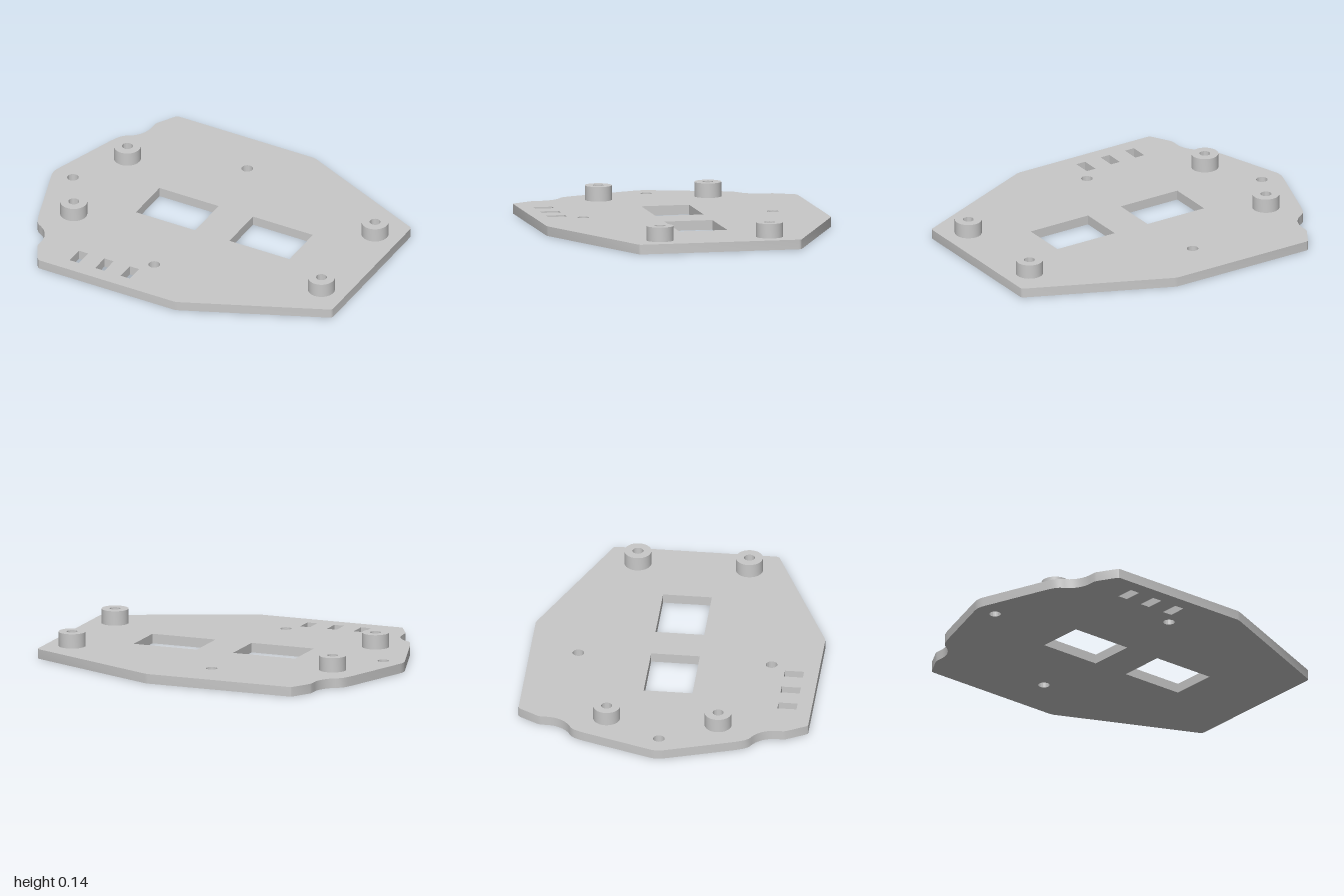
import * as THREE from 'three';
import { toCreasedNormals } from 'three/addons/utils/BufferGeometryUtils.js';

const PLATE = 0.054; // plate thickness
const TOP = 0.135;   // top of the standoffs

// Closed path through [x, z] points
function outline(points) {
  return new THREE.Path(points.map(([x, z]) => new THREE.Vector2(x, -z)));
}

// Holes run clockwise, against the plate edge
function rectHole(x0, x1, z0, z1) {
  return outline([[x0, z0], [x1, z0], [x1, z1], [x0, z1]]);
}

function roundHole(x, z, r) {
  return new THREE.Path().absarc(x, -z, r, 0, Math.PI * 2, true);
}

// Front half of the plate edge from the right side to the left tip, as [x, z]
function halfEdge() {
  const pts = [[1, 0.445], [0.997, 0.455], [0.99, 0.462], [0.215, 0.8], [0.195, 0.805],
    [-0.65, 0.805], [-0.66, 0.803], [-0.668, 0.795], [-0.728, 0.69], [-0.732, 0.675]];
  // Concave notch
  for (let i = 0; i <= 10; i++) {
    const a = -(i / 10) * THREE.MathUtils.degToRad(60);
    pts.push([-0.88 + 0.148 * Math.cos(a), 0.635 + 0.148 * Math.sin(a)]);
  }
  // Rounded shoulder, then the straight run to the tip
  pts.push([-0.827, 0.494], [-0.843, 0.475], [-0.855, 0.45], [-0.869, 0.415], [-0.995, 0.035], [-0.999, 0.018]);
  return pts;
}

export function createModel() {
  const group = new THREE.Group();
  const grey = new THREE.MeshStandardMaterial({ color: 0xc8c8c8 });
  grey.name = 'light grey plastic';

  // Base plate with all its cutouts
  const front = halfEdge();
  const back = front.map(([x, z]) => [x, -z]);
  const shape = new THREE.Shape(outline([...back, [-1, 0], ...front.reverse()]).getPoints());
  shape.holes.push(rectHole(-0.41, -0.038, -0.137, 0.134), rectHole(0.178, 0.555, -0.137, 0.134));
  for (const x of [-0.477, -0.317, -0.157]) {
    shape.holes.push(rectHole(x - 0.029, x + 0.029, 0.617, 0.723));
  }
  for (const [x, z] of [[-0.076, -0.537], [-0.076, 0.537], [-0.88, 0]]) {
    shape.holes.push(roundHole(x, z, 0.032));
  }
  const plateGeo = new THREE.ExtrudeGeometry(shape, { depth: PLATE, bevelEnabled: false, curveSegments: 32 });
  plateGeo.rotateX(-Math.PI / 2);
  const plate = new THREE.Mesh(toCreasedNormals(plateGeo, 0.5), grey);
  plate.name = 'basePlate';
  group.add(plate);

  // Four hollow standoffs, closed below by the plate
  const profile = [[0.075, PLATE], [0.075, TOP], [0.03, TOP], [0.03, PLATE]]
    .map(([r, y]) => new THREE.Vector2(r, y));
  const standoffGeo = toCreasedNormals(new THREE.LatheGeometry(profile, 40), 0.5);
  for (const x of [-0.706, 0.852]) {
    for (const z of [-0.31, 0.31]) {
      const standoff = new THREE.Mesh(standoffGeo, grey);
      standoff.name = 'standoff';
      standoff.position.set(x, 0, z);
      group.add(standoff);
    }
  }
  return group;
}
